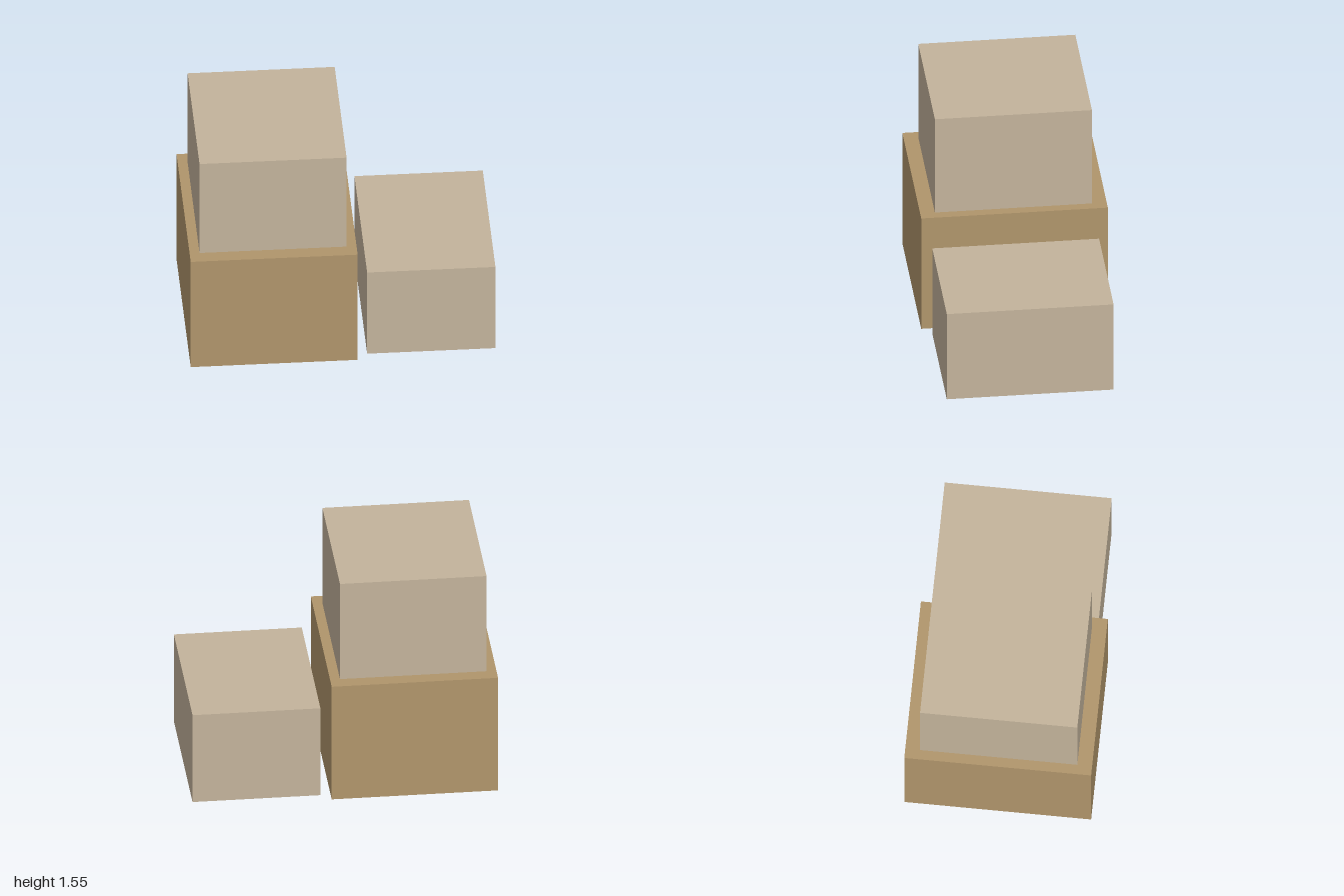
import * as THREE from 'three';

export function createModel() {
  const brown = new THREE.MeshStandardMaterial({ color: 0xb0956b });
  brown.name = 'brown cardboard';
  const tan = new THREE.MeshStandardMaterial({ color: 0xc3b39b });
  tan.name = 'pale cardboard';

  const model = new THREE.Group();
  model.name = 'stackedBoxes';

  // A box given by its x range, y range and depth, centred on z = 0
  function addBox(name, material, [x0, x1], [y0, y1], depth) {
    const box = new THREE.Mesh(new THREE.BoxGeometry(x1 - x0, y1 - y0, depth), material);
    box.name = name;
    box.position.set((x0 + x1) / 2, (y0 + y1) / 2, 0);
    model.add(box);
  }

  addBox('largeBottomBox', brown, [-1, 0.093], [0, 0.84], 1.226);
  addBox('upperBox', tan, [-0.935, 0.028], [0.84, 1.55], 1.032);
  addBox('sideBox', tan, [0.16, 1], [0, 0.648], 1.096);

  return model;
}
